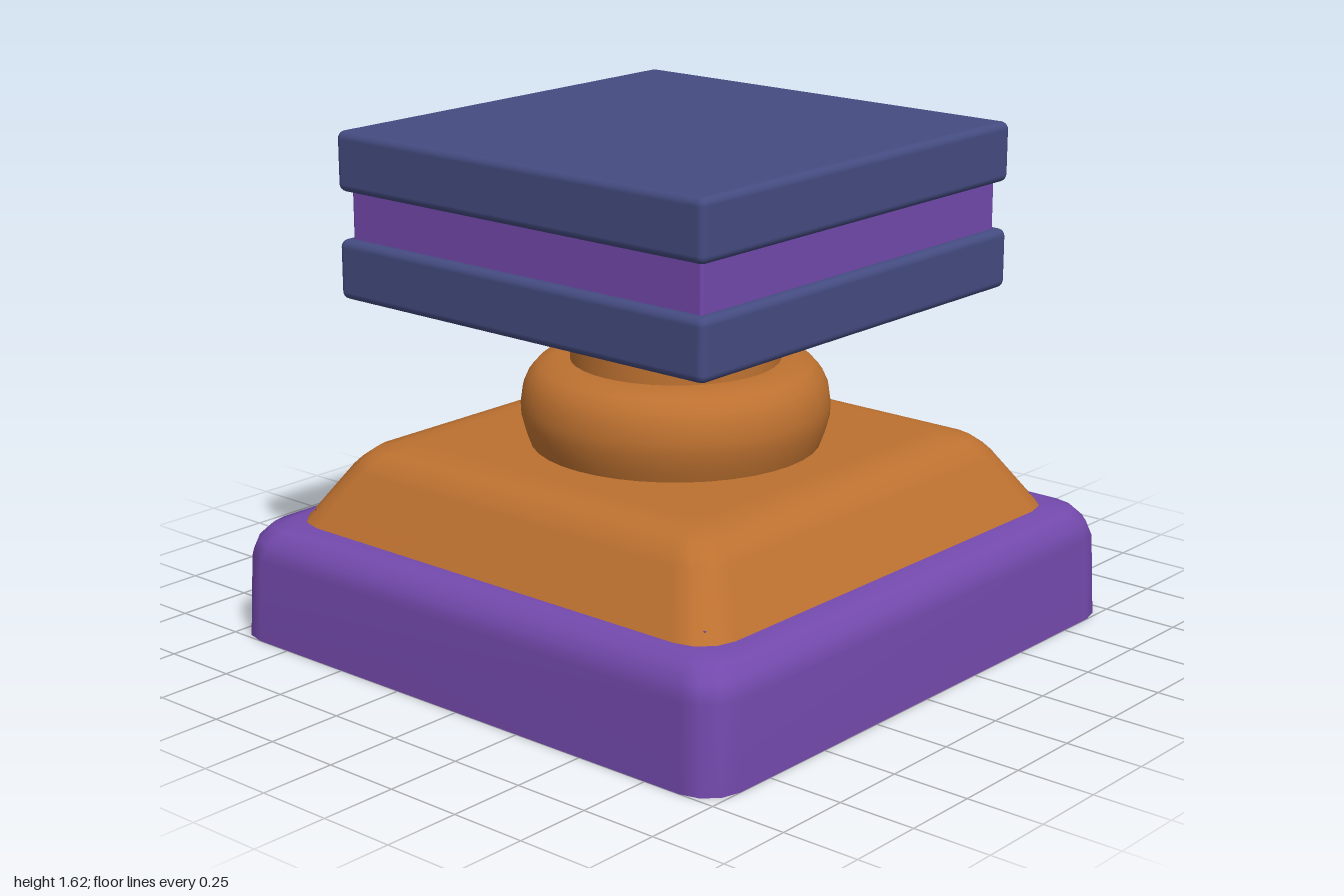
import * as THREE from 'three';
import { RoundedBoxGeometry } from 'three/addons/geometries/RoundedBoxGeometry.js';

const flat = (name, color, side = THREE.FrontSide) => {
  const material = new THREE.MeshStandardMaterial({ color, side });
  material.name = name;
  return material;
};

// Lofts rounded squares, given as [half width, height, corner radius], from bottom to top
function roundedSquareLoft(sections, capTop) {
  const steps = 3;
  const count = 4 * (steps + 1);
  const positions = [];
  const index = [];
  for (const [half, y, radius] of sections) {
    for (let corner = 0; corner < 4; corner++) {
      const mid = (corner + 0.5) * Math.PI / 2;
      const cx = Math.sign(Math.cos(mid)) * (half - radius);
      const cz = Math.sign(Math.sin(mid)) * (half - radius);
      for (let s = 0; s <= steps; s++) {
        const a = (corner + s / steps) * Math.PI / 2;
        positions.push(cx + radius * Math.cos(a), y, cz + radius * Math.sin(a));
      }
    }
  }
  for (let r = 0; r < sections.length - 1; r++) {
    for (let i = 0; i < count; i++) {
      const a = r * count + i;
      const b = r * count + (i + 1) % count;
      index.push(a, a + count, b, b, a + count, b + count);
    }
  }
  if (capTop) {
    const last = (sections.length - 1) * count;
    const center = positions.length / 3;
    positions.push(0, sections[sections.length - 1][1], 0);
    for (let i = 0; i < count; i++) index.push(center, last + (i + 1) % count, last + i);
  }
  const geometry = new THREE.BufferGeometry();
  geometry.setAttribute('position', new THREE.Float32BufferAttribute(positions, 3));
  geometry.setIndex(index);
  geometry.computeVertexNormals();
  return geometry;
}

export function createModel() {
  const group = new THREE.Group();
  group.name = 'switchPedestal';
  const purpleShell = flat('purple', 0x7349ac, THREE.DoubleSide);
  const orange = flat('orange', 0xbd7130, THREE.DoubleSide);
  const blue = flat('slateBlue', 0x444b80);

  const add = (name, geometry, material, y = 0) => {
    const mesh = new THREE.Mesh(geometry, material);
    mesh.name = name;
    mesh.position.y = y;
    group.add(mesh);
  };

  // Hollow base, open underneath
  add('baseShell', roundedSquareLoft([
    [1, 0, 0.12], [0.99, 0.27, 0.12], [0.975, 0.32, 0.12],
    [0.94, 0.36, 0.11], [0.89, 0.375, 0.1], [0.84, 0.375, 0.1],
  ], false), purpleShell);

  // Ceiling inside the base
  add('innerCeiling', new THREE.BoxGeometry(1.62, 0.008, 1.62), purpleShell, 0.405);

  // Sloping shoulder
  add('shoulder', roundedSquareLoft([
    [0.867, 0.375, 0.125], [0.755, 0.55, 0.11], [0.735, 0.575, 0.11],
    [0.7, 0.605, 0.1], [0.635, 0.622, 0.08], [0.58, 0.622, 0.07],
  ], true), orange);

  // Rounded collar around the column
  const collar = [
    [0.46, 0.62], [0.475, 0.66], [0.488, 0.71], [0.49, 0.75], [0.483, 0.80],
    [0.465, 0.84], [0.435, 0.873], [0.385, 0.89], [0.32, 0.89],
  ].map(([r, y]) => new THREE.Vector2(r, y));
  add('collar', new THREE.LatheGeometry(collar, 40), orange);

  // Hollow column running down to the floor
  add('column', new THREE.CylinderGeometry(0.327, 0.36, 1.11, 40, 1, true), orange, 0.555);

  // Stacked square head
  add('lowerPlate', new RoundedBoxGeometry(1.476, 0.19, 1.476, 3, 0.025), blue, 1.19);
  add('middlePlate', new RoundedBoxGeometry(1.41, 0.17, 1.41, 2, 0.01), purpleShell, 1.36);
  add('upperPlate', new RoundedBoxGeometry(1.476, 0.19, 1.476, 3, 0.025), blue, 1.53);

  return group;
}
